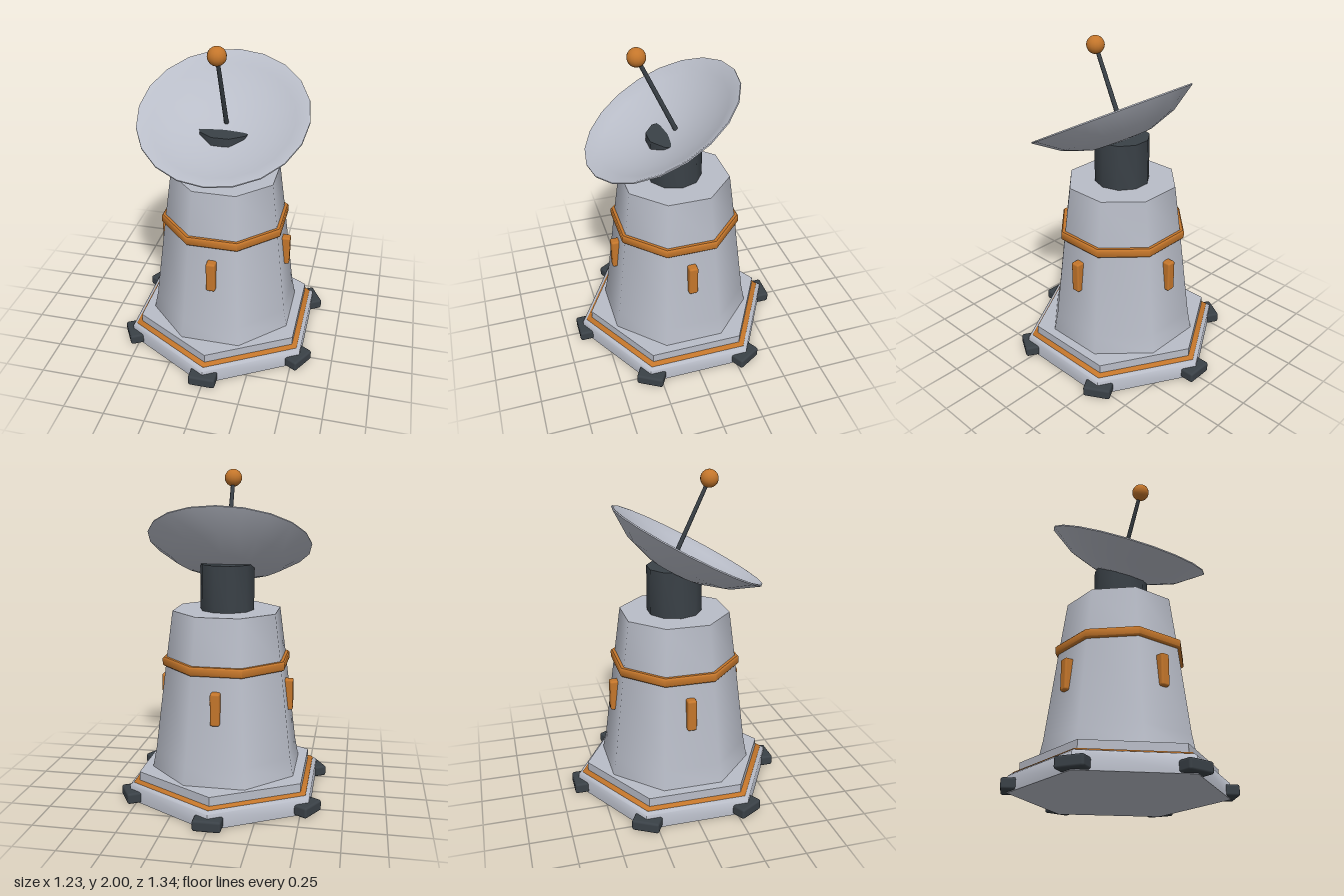
import * as THREE from 'three';
import { toCreasedNormals } from 'three/addons/utils/BufferGeometryUtils.js';
import { RoundedBoxGeometry } from 'three/addons/geometries/RoundedBoxGeometry.js';

const mat = (name, color) => {
  const m = new THREE.MeshStandardMaterial({ color });
  m.name = name;
  return m;
};

export function createModel() {
  const hull = mat('hull grey', 0xb9bdc8);
  const dark = mat('dark metal', 0x3a4147);
  const orange = mat('orange trim', 0xc4762b);
  const model = new THREE.Group();
  model.name = 'dishTower';

  const add = (name, geometry, material, parent = model) => {
    const mesh = new THREE.Mesh(geometry, material);
    mesh.name = name;
    parent.add(mesh);
    return mesh;
  };

  // Turned solid with few sides; edges sharper than 50 degrees stay crisp
  const turned = (profile, sides, phase = 0) => {
    const pts = profile.map(([r, y]) => new THREE.Vector2(r, y));
    const g = new THREE.LatheGeometry(pts, sides, phase);
    return toCreasedNormals(g, THREE.MathUtils.degToRad(50));
  };

  // Hexagonal base, corners pointing to the front and back
  const hex = 1 / Math.cos(Math.PI / 6);
  const hexRing = (profile) => turned(profile.map(([a, y]) => [a * hex, y]), 6);
  add('basePlate', hexRing([[0, 0], [0.55, 0], [0.55, 0.095], [0.535, 0.108], [0, 0.108]]), hull);
  add('baseTrim', hexRing([[0, 0.1], [0.527, 0.1], [0.527, 0.114], [0.522, 0.119], [0, 0.119]]), orange);
  add('baseStep', hexRing([[0, 0.1], [0.496, 0.1], [0.496, 0.173], [0, 0.173]]), hull);

  // Six feet at the base corners
  for (let i = 0; i < 6; i++) {
    const pivot = new THREE.Group();
    pivot.name = 'foot';
    pivot.rotation.y = i * Math.PI / 3;
    add('footBlock', new RoundedBoxGeometry(0.166, 0.067, 0.14, 2, 0.014), dark, pivot)
      .position.set(0, 0.0375, 0.6);
    model.add(pivot);
  }

  // Octagonal tower with flat sides to front, back, left and right
  const oct = 1 / Math.cos(Math.PI / 8);
  const octRing = (profile) => turned(profile.map(([a, y]) => [a * oct, y]), 8, Math.PI / 8);
  add('tower', octRing([[0, 0.165], [0.441, 0.165], [0.418, 0.29], [0.352, 0.85], [0.313, 1.16], [0, 1.16]]), hull);
  add('towerBand', octRing([
    [0.34, 0.822], [0.366, 0.822], [0.373, 0.83], [0.373, 0.868], [0.366, 0.877], [0.34, 0.877],
  ]), orange);

  // Four upright lamps on the tower
  for (let i = 0; i < 4; i++) {
    const pivot = new THREE.Group();
    pivot.name = 'lamp';
    pivot.rotation.y = i * Math.PI / 2;
    add('lampBlock', new RoundedBoxGeometry(0.057, 0.195, 0.06, 2, 0.012), orange, pivot)
      .position.set(0, 0.637, 0.385);
    model.add(pivot);
  }

  // Neck carrying the dish
  add('neck', turned([[0, 1.155], [0.167, 1.155], [0.167, 1.44], [0, 1.44]], 10, Math.PI / 2), dark);

  // Tilted dish: outer shell, rim, then inner bowl
  const dish = add('dish', turned([
    [0, -0.178], [0.19, -0.165], [0.355, -0.107], [0.505, -0.004], [0.503, 0.003], [0.492, 0.002],
    [0.42, -0.036], [0.32, -0.073], [0.22, -0.102], [0.12, -0.12], [0, -0.127],
  ], 20, Math.PI / 2), hull);
  dish.position.set(0, 1.559, 0.084);
  dish.rotation.x = THREE.MathUtils.degToRad(28.3);

  // Feed mast and ball
  const foot = new THREE.Vector3(0, 1.44, -0.022);
  const tip = new THREE.Vector3(0, 1.946, 0.212);
  const axis = tip.clone().sub(foot);
  const mast = add('mast', new THREE.CylinderGeometry(0.012, 0.015, axis.length(), 8), dark);
  mast.position.copy(foot).addScaledVector(axis, 0.5);
  mast.quaternion.setFromUnitVectors(new THREE.Vector3(0, 1, 0), axis.normalize());
  add('mastBall', new THREE.SphereGeometry(0.054, 16, 12), orange).position.copy(tip);

  return model;
}
